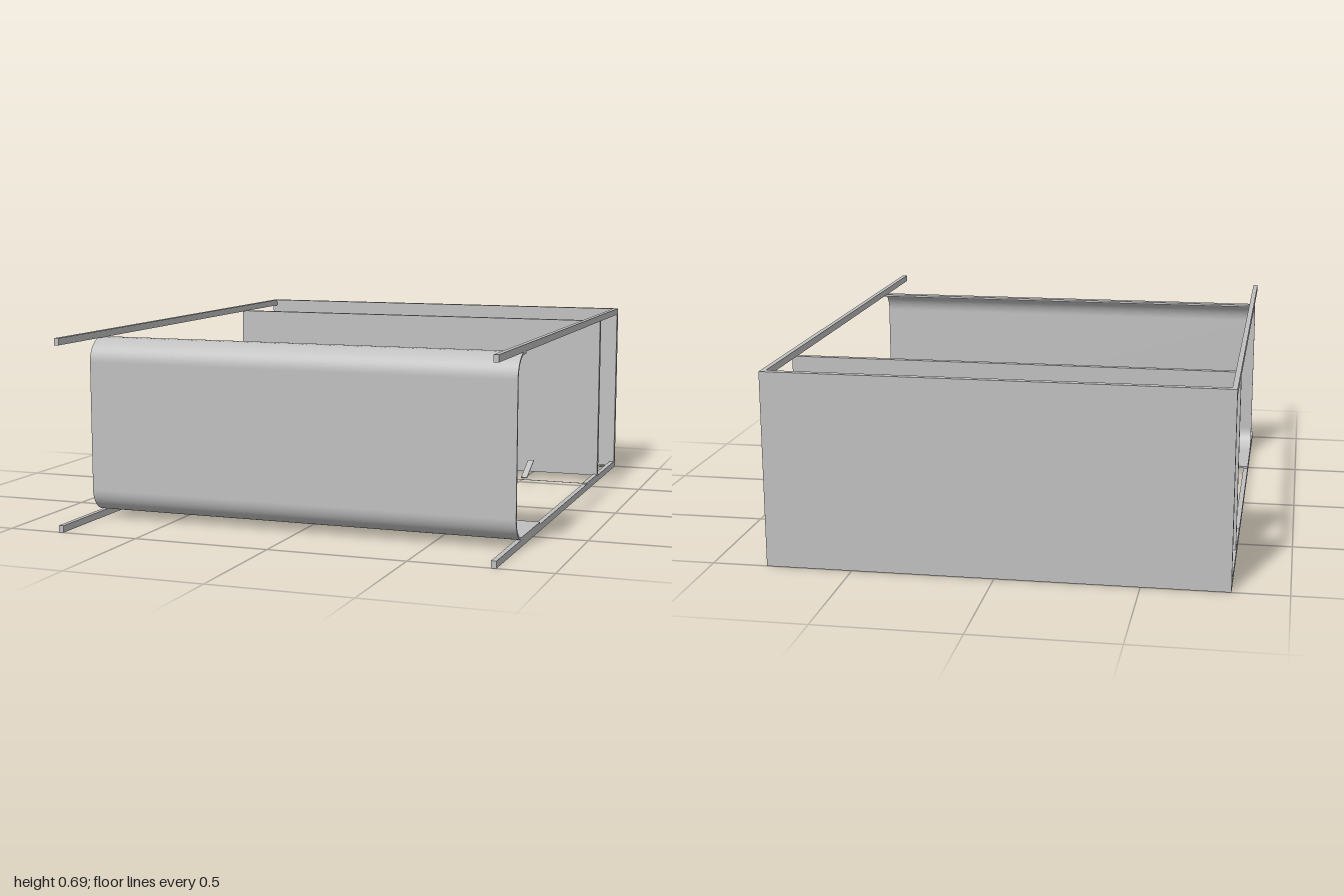
import * as THREE from 'three';

const grey = new THREE.MeshStandardMaterial({ color: 0xc0c0c0 });
grey.name = 'grey metal';

export function createModel() {
  const model = new THREE.Group();
  model.name = 'coatRack';

  const add = (name, geometry, x, y, z) => {
    const mesh = new THREE.Mesh(geometry, grey);
    mesh.name = name;
    mesh.position.set(x, y, z);
    model.add(mesh);
    return mesh;
  };
  const box = (name, w, h, d, x, y, z) => add(name, new THREE.BoxGeometry(w, h, d), x, y, z);

  // Four long rails, with a thin bracket beside each lower one
  for (const x of [-0.796, 0.796]) {
    for (const y of [0.0125, 0.6825]) box('rail', 0.018, 0.025, 1.975, x, y, 0.0125);
    box('bracket', 0.018, 0.005, 0.21, x, 0.0275, -0.51);
  }

  // End board with a middle seam and small screws
  box('endBoard', 1.61, 0.695, 0.025, 0, 0.3475, -0.9875);
  box('seam', 0.006, 0.66, 0.003, 0, 0.3475, -0.974);
  for (const x of [-0.69, 0.69]) {
    for (const y of [0.12, 0.58]) {
      add('screw', new THREE.CylinderGeometry(0.005, 0.005, 0.006, 12), x, y, -0.973).rotation.x = Math.PI / 2;
    }
  }

  // Small eyelets at the lower corners
  for (const x of [-0.755, 0.755]) {
    add('eyelet', new THREE.TorusGeometry(0.012, 0.004, 6, 20), x, 0.005, -0.963).rotation.x = Math.PI / 2;
  }

  // Cross board
  box('crossBoard', 1.606, 0.646, 0.022, 0, 0.348, -0.63);

  // Bent sheet, drawn in profile (z, y) and extruded across the rails
  const outerZ = 0.75, low = 0.025, high = 0.67, r = 0.085, t = 0.008;
  const profile = new THREE.Shape();
  profile.moveTo(0.4, low);
  profile.lineTo(outerZ - r, low);
  profile.absarc(outerZ - r, low + r, r, -Math.PI / 2, 0, false);
  profile.absarc(outerZ - r, high - r, r, 0, Math.PI / 2, false);
  profile.lineTo(0.64, high);
  profile.lineTo(0.64, high - t);
  profile.absarc(outerZ - r, high - r, r - t, Math.PI / 2, 0, true);
  profile.absarc(outerZ - r, low + r, r - t, 0, -Math.PI / 2, true);
  profile.lineTo(0.4, low + t);
  profile.closePath();
  const sheet = new THREE.ExtrudeGeometry(profile, { depth: 1.61, bevelEnabled: false, curveSegments: 24 });
  sheet.rotateY(-Math.PI / 2); // profile z axis faces front
  sheet.translate(0.805, 0, 0);
  add('bentSheet', sheet, 0, 0, 0);

  // Hanging wire and four slanted hooks
  box('wire', 1.58, 0.002, 0.002, 0, 0.028, -0.408);
  for (const x of [-0.54, -0.18, 0.177, 0.535]) {
    box('hook', 0.025, 0.004, 0.128, x, 0.056, -0.5).rotation.x = 0.43;
  }

  return model;
}
